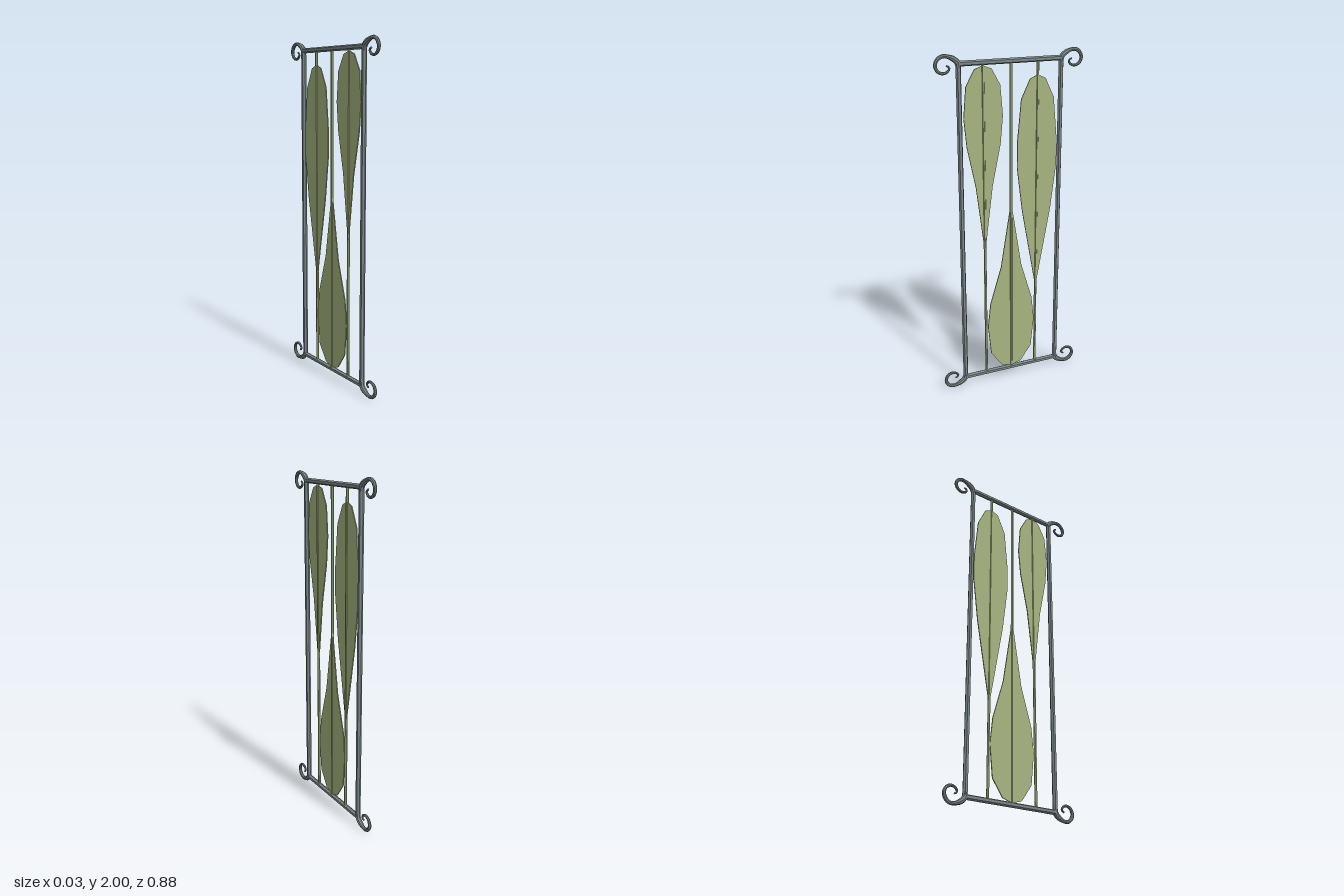
import * as THREE from 'three';

const mat = (name, color) => {
  const m = new THREE.MeshStandardMaterial({ color });
  m.name = name;
  return m;
};

// Splits shared corners so each facet is shaded flat
const faceted = (geometry) => {
  const g = geometry.toNonIndexed();
  g.computeVertexNormals();
  return g;
};

export function createModel() {
  const group = new THREE.Group();
  const steel = mat('grey steel', 0x7d8889);
  const leafGreen = mat('leaf green', 0xa7b580);

  const add = (name, geometry, material) => {
    const mesh = new THREE.Mesh(geometry, material);
    mesh.name = name;
    group.add(mesh);
    return mesh;
  };
  const bar = (name, radius, length, material) =>
    add(name, faceted(new THREE.CylinderGeometry(radius, radius, length, 6)), material);

  // Rectangular frame: two posts and two rails
  for (const s of [1, -1]) {
    bar('post', 0.015, 1.91, steel).position.set(0, 0.998, s * 0.303);
    const rail = bar('rail', 0.015, 0.6, steel);
    rail.rotation.x = Math.PI / 2;
    rail.position.y = 0.998 + s * 0.947;
  }

  // Curled corner scrolls: tubes whose thickness changes along the path
  const spiral = [
    [0.303, 0.925], [0.308, 0.954], [0.34, 0.979], [0.385, 0.99], [0.415, 0.976], [0.43, 0.945],
    [0.419, 0.914], [0.389, 0.9], [0.361, 0.91], [0.352, 0.929], [0.366, 0.938],
  ];
  const widths = [0.014, 0.016, 0.015, 0.0105, 0.011, 0.011, 0.01, 0.009, 0.008, 0.007, 0.005];
  const scroll = (sy, sz) => {
    const curve = new THREE.CatmullRomCurve3(spiral.map(([z, y]) => new THREE.Vector3(0, 0.998 + sy * y, sz * z)));
    const rings = 32, sides = 8;
    const geo = new THREE.TubeGeometry(curve, rings, 1, sides);
    const pos = geo.attributes.position;
    const v = new THREE.Vector3();
    for (let i = 0; i <= rings; i++) {
      const t = i / rings;
      const centre = curve.getPointAt(t);
      const f = t * (widths.length - 1), k = Math.min(Math.floor(f), widths.length - 2);
      const r = THREE.MathUtils.lerp(widths[k], widths[k + 1], f - k);
      for (let j = 0; j <= sides; j++) {
        const n = i * (sides + 1) + j;
        v.fromBufferAttribute(pos, n).sub(centre).multiplyScalar(r).add(centre);
        pos.setXYZ(n, v.x, v.y, v.z);
      }
    }
    add('cornerScroll', faceted(geo), steel);
    const tip = add('scrollTip', new THREE.SphereGeometry(0.0055, 6, 4), steel);
    tip.position.copy(curve.getPoint(1));
  };
  for (const sy of [1, -1]) for (const sz of [1, -1]) scroll(sy, sz);

  // Leaf blades: outline given as [height, half width] from the rounded end to the point
  const leaves = [
    { z: 0.165, outline: [[1.928, 0], [1.91, 0.05], [1.82, 0.1], [1.65, 0.115], [1.49, 0.1], [1.25, 0.05], [0.85, 0]] },
    { z: -0.161, outline: [[1.86, 0], [1.84, 0.047], [1.73, 0.1], [1.48, 0.124], [1.34, 0.124], [1.07, 0.09], [0.58, 0]] },
    { z: 0, outline: [[0.06, 0], [0.08, 0.065], [0.175, 0.133], [0.36, 0.152], [0.51, 0.135], [0.74, 0.065], [1.14, 0]] },
  ];
  for (const { z, outline } of leaves) {
    const half = outline.map(([y, w]) => new THREE.Vector2(w, y));
    const other = outline.slice(1, -1).reverse().map(([y, w]) => new THREE.Vector2(-w, y));
    const geo = new THREE.ExtrudeGeometry(new THREE.Shape([...half, ...other]), { depth: 0.006, bevelEnabled: false });
    geo.translate(0, 0, -0.003);
    geo.rotateY(Math.PI / 2);
    add('leaf', geo, leafGreen).position.z = z;

    // Slim stem running the full height through the leaf
    bar('stem', 0.0085, 1.89, leafGreen).position.set(0, 0.998, z);
  }
  return group;
}
